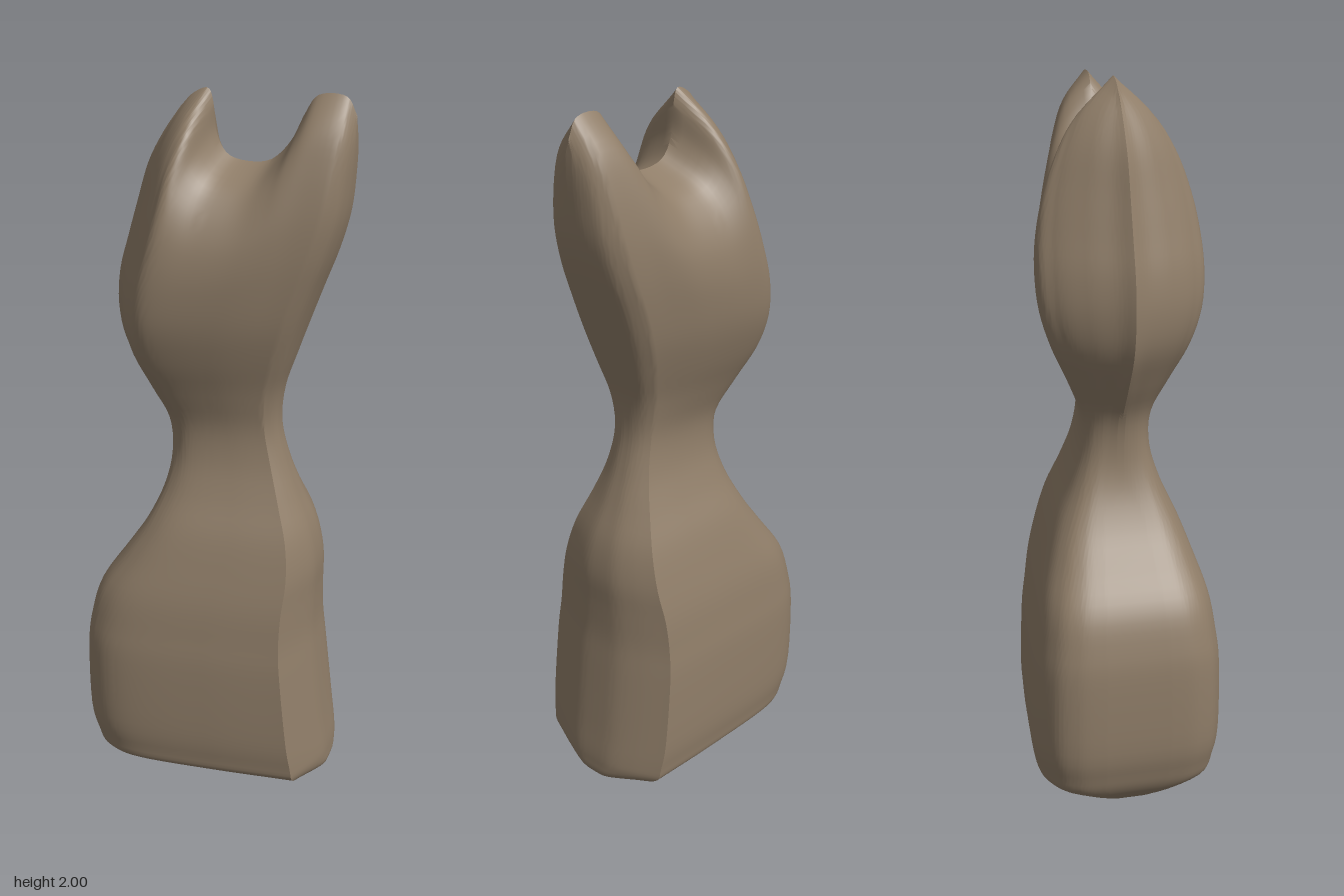
import * as THREE from 'three';
import { toCreasedNormals } from 'three/addons/utils/BufferGeometryUtils.js';

const curve = (pts) =>
  new THREE.CatmullRomCurve3(pts.map(([a, b, c = 0]) => new THREE.Vector3(a, b, c)), false, 'catmullrom', 0.5);

// Silhouette levels: height, left edge x, right edge x, half depth
const LEVELS = [
  [0, -0.27, 0.325, 0.1], [0.03, -0.305, 0.35, 0.17], [0.065, -0.33, 0.352, 0.245], [0.11, -0.345, 0.349, 0.26],
  [0.2, -0.363, 0.337, 0.27], [0.4, -0.364, 0.313, 0.267], [0.5, -0.352, 0.302, 0.256], [0.6, -0.322, 0.3, 0.24],
  [0.7, -0.255, 0.3, 0.21], [0.8, -0.19, 0.28, 0.175], [0.9, -0.147, 0.238, 0.13], [1.0, -0.135, 0.2, 0.1],
  [1.1, -0.155, 0.176, 0.1], [1.2, -0.22, 0.182, 0.14], [1.3, -0.28, 0.213, 0.188], [1.4, -0.3, 0.247, 0.22],
  [1.5, -0.293, 0.283, 0.229], [1.6, -0.265, 0.32, 0.223], [1.7, -0.235, 0.347, 0.203], [1.8, -0.203, 0.358, 0.165],
  [1.88, -0.16, 0.362, 0.108], [1.95, -0.11, 0.36, 0],
];
const heights = curve(LEVELS.map((l) => [l[0], 0]));
const edges = curve(LEVELS.map((l) => l.slice(1)));

// Half cross-sections (across, depth): a rounded side up to a corner, then the end face
const BASE = [
  curve([[-1, 0], [-1, 0.35], [-0.97, 0.65], [-0.85, 0.87], [-0.55, 0.99], [0.15, 0.93], [0.82, 0.83]]),
  curve([[0.82, 0.83], [0.93, 0.5], [0.99, 0.25], [1, 0]]),
];
const HEAD = [
  curve([[-1, 0], [-0.9, 0.18], [-0.78, 0.5], [-0.62, 0.82], [-0.4, 1], [0.25, 0.82], [0.85, 0.55]]),
  curve([[0.85, 0.55], [0.95, 0.4], [0.99, 0.2], [1, 0]]),
];

// Top ridge with its two prongs and the notch between them
const ridge = curve([
  [-0.11, 1.95], [-0.075, 1.985], [-0.035, 2], [-0.02, 1.965], [-0.012, 1.89], [0.02, 1.835], [0.08, 1.82],
  [0.14, 1.83], [0.19, 1.88], [0.225, 1.95], [0.26, 1.997], [0.33, 1.997], [0.36, 1.95],
]);

const SIDE = 96, END = 24, HALF = SIDE + END, RING = HALF * 2, ROWS = (LEVELS.length - 1) * 4;

function sectionPoint(section, i) {
  return i <= SIDE ? section[0].getPoint(i / SIDE) : section[1].getPoint((i - SIDE) / END);
}

function bodyGeometry() {
  const pos = [], index = [];
  const base = [], head = [];
  for (let i = 0; i <= HALF; i++) {
    base.push(sectionPoint(BASE, i));
    head.push(sectionPoint(HEAD, i));
  }
  for (let r = 0; r <= ROWS; r++) {
    const y = heights.getPoint(r / ROWS).x;
    const e = edges.getPoint(r / ROWS);
    const mix = THREE.MathUtils.smoothstep(y, 0.85, 1.3);
    // The upper rows bend gradually towards the notched ridge
    const v = Math.pow(THREE.MathUtils.clamp((y - 1.4) / 0.55, 0, 1), 1.4);
    for (let j = 0; j < RING; j++) {
      const i = j <= HALF ? j : RING - j;
      const p = base[i].clone().lerp(head[i], mix);
      const k = THREE.MathUtils.clamp((p.x + 1) / 2, 0, 1);
      const top = ridge.getPoint(k);
      const x = THREE.MathUtils.lerp(e.x, e.y, k) + v * (top.x - THREE.MathUtils.lerp(-0.11, 0.36, k));
      const z = Math.max(0, p.y * e.z) * (j <= HALF ? 1 : -1);
      pos.push(x, y + v * (top.y - 1.95), z);
    }
  }
  // Walls
  for (let r = 0; r < ROWS; r++) {
    for (let j = 0; j < RING; j++) {
      const n = (j + 1) % RING;
      const a = r * RING + j, b = r * RING + n;
      index.push(a, b, b + RING, a, b + RING, a + RING);
    }
  }
  // Flat underside
  for (let i = 0; i < HALF; i++) {
    const b0 = (RING - i) % RING, b1 = RING - i - 1;
    if (i > 0) index.push(i, b0, b1);
    if (i < HALF - 1) index.push(i, b1, i + 1);
  }
  const g = new THREE.BufferGeometry();
  g.setAttribute('position', new THREE.Float32BufferAttribute(pos, 3));
  g.setIndex(index);
  return toCreasedNormals(g, 0.7);
}

export function createModel() {
  const group = new THREE.Group();
  group.name = 'carvedFigure';
  const clay = new THREE.MeshStandardMaterial({ color: 0x8f7d68 });
  clay.name = 'brown clay';
  const body = new THREE.Mesh(bodyGeometry(), clay);
  body.name = 'body';
  group.add(body);
  return group;
}
